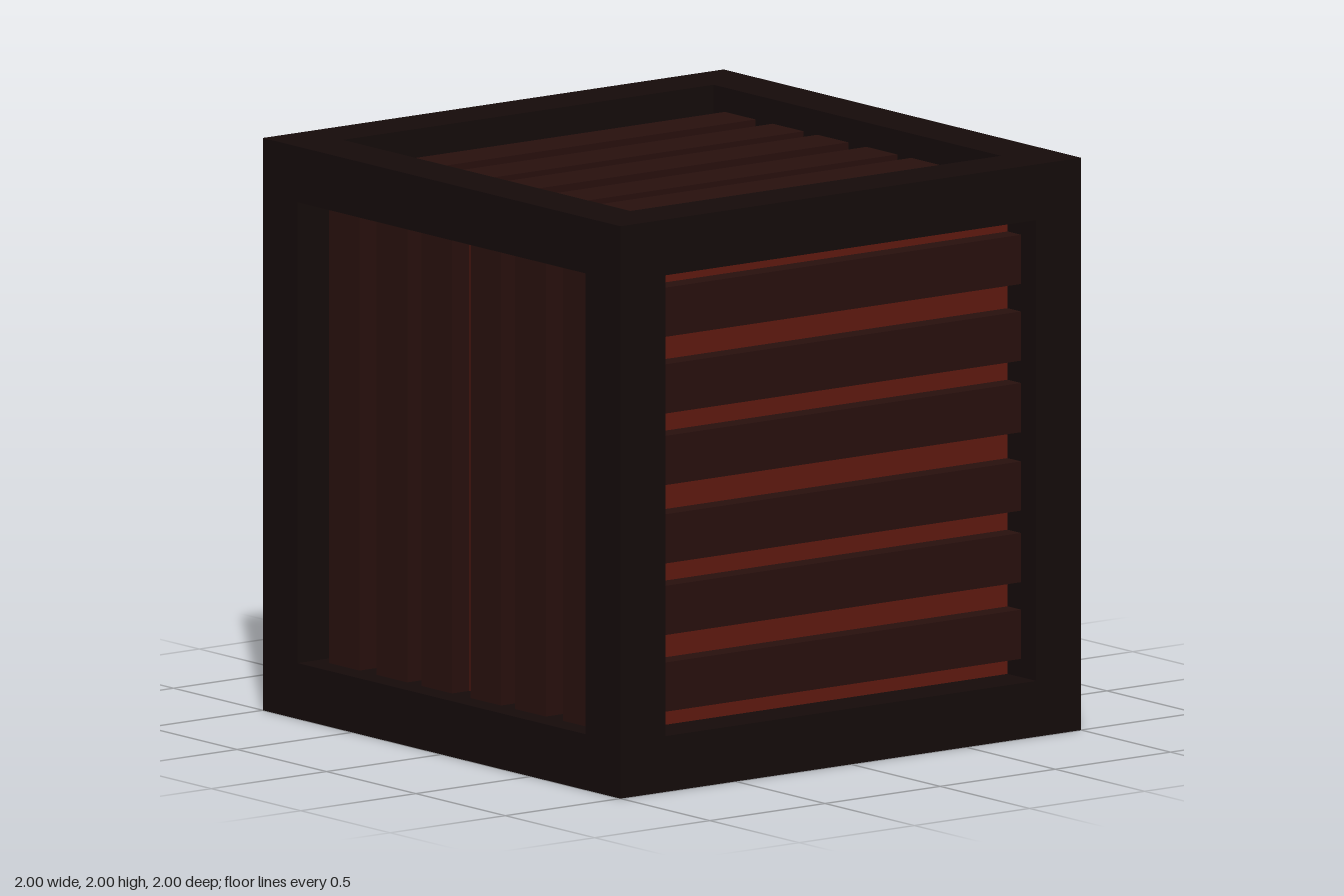
import * as THREE from 'three';

const SIZE = 2, BEAM = 0.195, OPENING = SIZE - 2 * BEAM;
const CORE = 0.84, PLANK_FACE = 0.915, PLANK_WIDTH = 0.172;
const PLANK_CENTRES = [-0.655, -0.387, -0.137, 0.137, 0.387, 0.655];

const material = (color) => new THREE.MeshStandardMaterial({ color });

function box(name, size, position, mat) {
  const mesh = new THREE.Mesh(new THREE.BoxGeometry(...size), mat);
  mesh.name = name;
  mesh.position.set(...position);
  return mesh;
}

// Twelve edge beams; uprights run full height, rails fit between them
function createFrame(mat) {
  const frame = new THREE.Group();
  frame.name = 'frame';
  const c = (SIZE - BEAM) / 2;
  for (const a of [-c, c]) {
    for (const b of [-c, c]) {
      frame.add(
        box('upright', [BEAM, SIZE, BEAM], [a, 0, b], mat),
        box('crossRail', [OPENING, BEAM, BEAM], [0, a, b], mat),
        box('sideRail', [BEAM, BEAM, OPENING], [a, b, 0], mat)
      );
    }
  }
  return frame;
}

// Six parallel planks lying on one face, running along local x and facing local +z
function createPlankPanel(name, mat) {
  const panel = new THREE.Group();
  panel.name = name;
  const depth = PLANK_FACE - CORE;
  for (const y of PLANK_CENTRES) {
    panel.add(box('plank', [OPENING, PLANK_WIDTH, depth], [0, y, CORE + depth / 2], mat));
  }
  return panel;
}

export function createModel() {
  const crate = new THREE.Group();
  crate.name = 'crate';
  const body = new THREE.Group();
  body.name = 'body';
  body.position.y = SIZE / 2;
  crate.add(body);

  body.add(createFrame(material(0x150b0a)));

  // Red inner box seen between the planks
  body.add(box('innerBox', [2 * CORE, 2 * CORE, 2 * CORE], [0, 0, 0], material(0x601a10)));

  // Planks: horizontal at front and back, upright on the sides, crosswise on top and bottom
  const plankMaterial = material(0x28100d);
  const q = Math.PI / 2;
  const faces = [
    ['frontPlanks', 0, 0, 0],
    ['backPlanks', 0, 2 * q, 0],
    ['leftPlanks', 0, q, q],
    ['rightPlanks', 0, -q, q],
    ['topPlanks', -q, 0, 0],
    ['bottomPlanks', q, 0, 0],
  ];
  for (const [name, rx, ry, rz] of faces) {
    const panel = createPlankPanel(name, plankMaterial);
    panel.rotation.set(rx, ry, rz);
    body.add(panel);
  }
  return crate;
}
